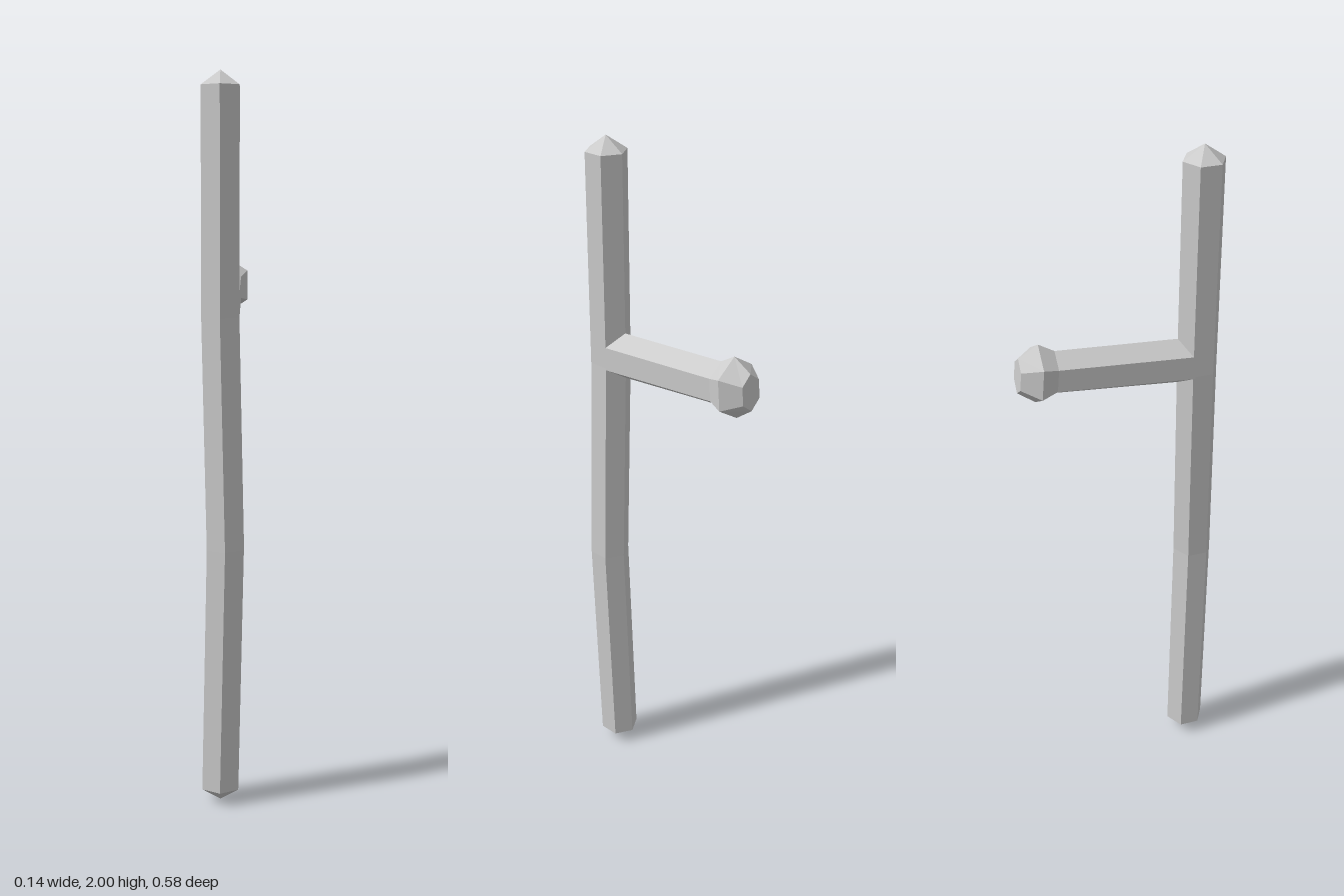
import * as THREE from 'three';

const SIDES = 6;
const X = new THREE.Vector3(1, 0, 0);

// Six-sided loft through rings [centre y, centre z, radius along u, radius along x, centre x].
// A ring of zero radius closes an end.
function loft(rings, u) {
  const corner = ([y, z, ru, rx, x = 0], j) => {
    const a = (j / SIDES) * Math.PI * 2;
    return new THREE.Vector3(x, y, z)
      .addScaledVector(u, ru * Math.cos(a))
      .addScaledVector(X, rx * Math.sin(a));
  };
  const pos = [];
  const tri = (...pts) => pts.forEach((p) => pos.push(p.x, p.y, p.z));
  for (let i = 0; i < rings.length - 1; i++) {
    for (let j = 0; j < SIDES; j++) {
      const a = corner(rings[i], j), b = corner(rings[i], j + 1);
      const c = corner(rings[i + 1], j + 1), d = corner(rings[i + 1], j);
      if (rings[i][2] > 0) tri(a, b, c.clone().lerp(d, rings[i + 1][2] > 0 ? 0 : 0.5));
      if (rings[i + 1][2] > 0) tri(a, c, d);
    }
  }
  const geo = new THREE.BufferGeometry();
  geo.setAttribute('position', new THREE.Float32BufferAttribute(pos, 3));
  geo.computeVertexNormals();
  return geo;
}

export function createModel() {
  const group = new THREE.Group();
  const material = new THREE.MeshStandardMaterial({ color: 0xcccccc, flatShading: true });
  const add = (name, geo) => {
    const mesh = new THREE.Mesh(geo, material);
    mesh.name = name;
    group.add(mesh);
  };

  // Upright shaft with pointed ends and a slight bow in its lower half
  const r = 0.058;
  add('shaft', loft([
    [0, 0.22, 0, 0],
    [0.04, 0.22, r, r],
    [0.73, 0.23, r, r, 0.014],
    [1.36, 0.22, r, r],
    [1.96, 0.22, r, r],
    [2, 0.22, 0, 0],
  ], new THREE.Vector3(0, 0, 1)));

  // Side handle, rising slightly toward the back, with a faceted knob
  const up = new THREE.Vector3(0, 1, 0.076).normalize();
  add('handle', loft([
    [1.388, 0.2, 0, 0],
    [1.388, 0.2, 0.068, 0.058],
    [1.418, -0.189, 0.064, 0.058],
  ], up));
  add('handleKnob', loft([
    [1.418, -0.189, 0.064, 0.058],
    [1.422, -0.235, 0.087, 0.079],
    [1.424, -0.287, 0.052, 0.039],
    [1.424, -0.287, 0, 0],
  ], up));

  return group;
}
